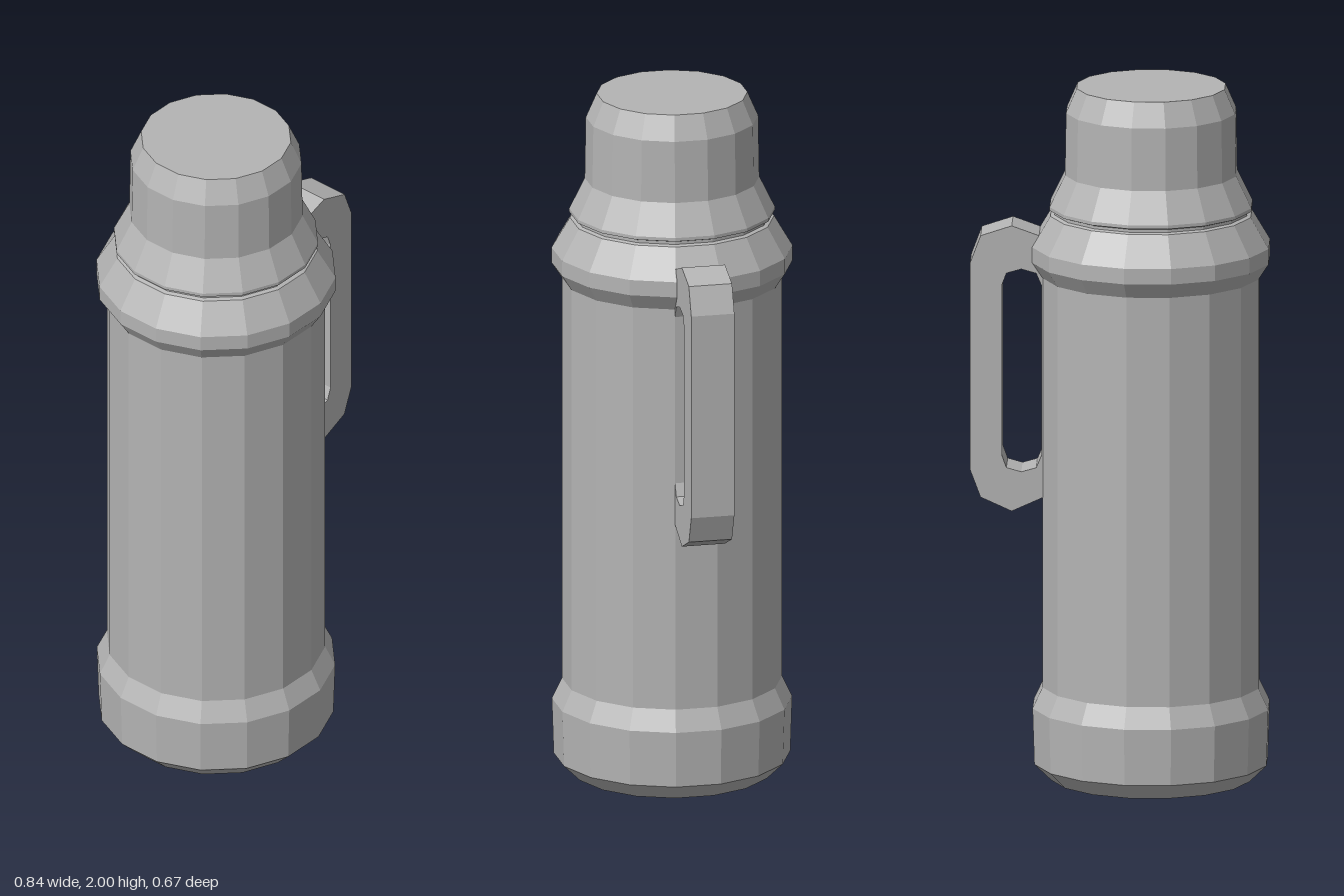
import * as THREE from 'three';

const SIDES = 16;
const AXIS_X = -0.09;

const metal = new THREE.MeshStandardMaterial({ color: 0xb4b4b4 });
metal.name = 'grey';

// Faceted mesh with one normal per face
function facetedMesh(name, geometry) {
  const flat = geometry.index ? geometry.toNonIndexed() : geometry;
  flat.computeVertexNormals();
  const mesh = new THREE.Mesh(flat, metal);
  mesh.name = name;
  return mesh;
}

// Turned part from [distance to flat side, height] pairs, with flat sides facing the axes
function turned(name, profile) {
  const toCorner = 1 / Math.cos(Math.PI / SIDES);
  const points = profile.map(([r, y]) => new THREE.Vector2(r * toCorner, y));
  const mesh = facetedMesh(name, new THREE.LatheGeometry(points, SIDES, Math.PI / SIDES));
  mesh.position.x = AXIS_X;
  return mesh;
}

const toPoints = (list) => list.map(([x, y]) => new THREE.Vector2(x, y));

// Closed ring handle whose inner bar is sunk into the body
function handle() {
  const depth = 0.125;
  const shape = new THREE.Shape(toPoints([
    [0.302, 0.78], [0.39, 0.82], [0.42, 0.9], [0.42, 1.497],
    [0.39, 1.577], [0.302, 1.606], [0.214, 1.574], [0.18, 1.497],
    [0.18, 0.9], [0.214, 0.82],
  ]));
  shape.holes.push(new THREE.Path(toPoints([
    [0.275, 0.894], [0.233, 0.906], [0.218, 0.942], [0.218, 1.434],
    [0.233, 1.469], [0.275, 1.481], [0.317, 1.469], [0.33, 1.434],
    [0.33, 0.942], [0.317, 0.906],
  ])));
  const geometry = new THREE.ExtrudeGeometry(shape, { depth, bevelEnabled: false });
  geometry.translate(0, 0, -depth / 2);
  return facetedMesh('handle', geometry);
}

export function createModel() {
  const model = new THREE.Group();
  model.name = 'vacuumFlask';
  model.add(
    // Base cup with chamfered foot
    turned('base', [[0, 0], [0.28, 0], [0.328, 0.048], [0.333, 0.21], [0.305, 0.27]]),
    turned('body', [[0.305, 0.27], [0.305, 1.455]]),
    // Flared collar, closed by the narrow neck under the cap
    turned('collar', [[0.305, 1.455], [0.334, 1.5], [0.334, 1.545], [0.283, 1.633], [0.272, 1.637], [0.272, 1.65]]),
    // Cup lid
    turned('cap', [[0.265, 1.643], [0.285, 1.65], [0.285, 1.66], [0.242, 1.75], [0.239, 1.93], [0.209, 2], [0, 2]]),
    handle(),
  );
  return model;
}
